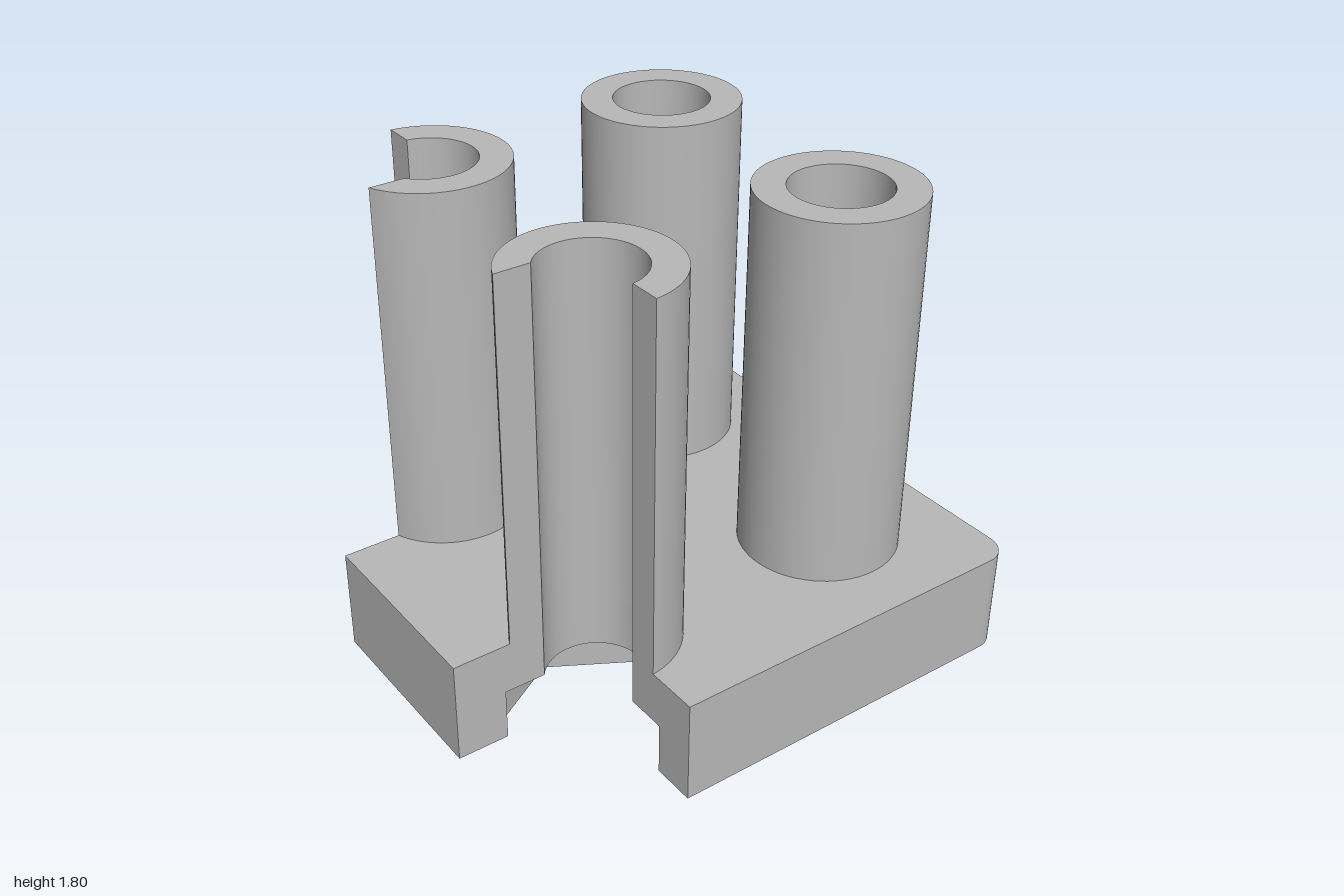
import * as THREE from 'three';
import { toCreasedNormals } from 'three/addons/utils/BufferGeometryUtils.js';

const C = 0.5;              // post centres at x, z = +-C
const BORE = 0.182, OUTER = 0.3, HEX = 0.35;
const CUT_X = 0.39, CUT_Z = 0.475; // front corners removed beyond these
const POCKET = 0.2, PLATE = 0.4, TOP = 1.8;

// Plan coordinates are (x, -z), so the front is at negative plan y.
function arc(cx, cy, r, a0, a1, n) {
  return Array.from({ length: n + 1 }, (_, i) => {
    const a = a0 + (a1 - a0) * i / n;
    return new THREE.Vector2(cx + r * Math.cos(a), cy + r * Math.sin(a));
  });
}
const circle = (cx, cy, r, n) => arc(cx, cy, r, 0, Math.PI * 2 * (1 - 1 / n), n - 1);
const mirror = (pts) => pts.map((p) => new THREE.Vector2(-p.x, p.y)).reverse();

// Part of a circle left after the front left corner is cut away
function cutArc(r) {
  const dx = CUT_X - C, dy = C - CUT_Z;
  const a0 = Math.atan2(-Math.sqrt(r * r - dx * dx), dx);
  const a1 = Math.asin(dy / r) - Math.PI * 2;
  return arc(C, -C, r, a0, a1, 48);
}

// Same for the hexagonal pocket
function cutHex() {
  const h = HEX * Math.sqrt(3) / 2;
  return [
    [CUT_X - C, -h], [-HEX / 2, -h], [-HEX, 0], [-HEX / 2, h], [HEX / 2, h],
    [HEX - (C - CUT_Z) / Math.sqrt(3), C - CUT_Z],
  ].map(([x, y]) => new THREE.Vector2(C + x, -C + y));
}

// Plate outline with rounded back corners and a bite at each front corner
function plateShape(bite, holeRadius, holeSides) {
  const corner = arc(0.9, 0.9, 0.1, 0, Math.PI / 2, 12);
  const right = [
    new THREE.Vector2(CUT_X, -1), ...bite, new THREE.Vector2(1, -CUT_Z), ...corner,
  ];
  const shape = new THREE.Shape([...right, ...mirror(right)]);
  for (const s of [-1, 1]) {
    shape.holes.push(new THREE.Path(circle(s * C, C, holeRadius, holeSides)));
  }
  return shape;
}

export function createModel() {
  const group = new THREE.Group();
  const grey = new THREE.MeshStandardMaterial({ color: 0xb8b8b8 });
  grey.name = 'grey';

  function add(name, shape, y0, y1) {
    const geo = new THREE.ExtrudeGeometry(shape, { depth: y1 - y0, bevelEnabled: false });
    geo.rotateX(-Math.PI / 2);
    geo.translate(0, y0, 0);
    const mesh = new THREE.Mesh(toCreasedNormals(geo, 0.5), grey);
    mesh.name = name;
    group.add(mesh);
  }

  // Base plate: lower layer with hexagonal pockets, upper layer with round bores
  add('pocketPlate', plateShape(cutHex(), HEX, 6), 0, POCKET);
  add('borePlate', plateShape(cutArc(BORE), BORE, 64), POCKET, PLATE);

  // Closed tubes at the back, cut-open tubes at the front
  const openTube = [...cutArc(OUTER), new THREE.Vector2(C + BORE, -CUT_Z),
    ...cutArc(BORE).reverse()];
  openTube.splice(49, 1); // the inner arc already starts on the cut
  for (const s of [-1, 1]) {
    const side = s > 0 ? 'Left' : 'Right';
    const ring = new THREE.Shape(circle(s * C, C, OUTER, 64));
    ring.holes.push(new THREE.Path(circle(s * C, C, BORE, 64)));
    add('back' + side + 'Tube', ring, PLATE, TOP);
    add('front' + side + 'Tube', new THREE.Shape(s > 0 ? openTube : mirror(openTube)), PLATE, TOP);
  }
  return group;
}
